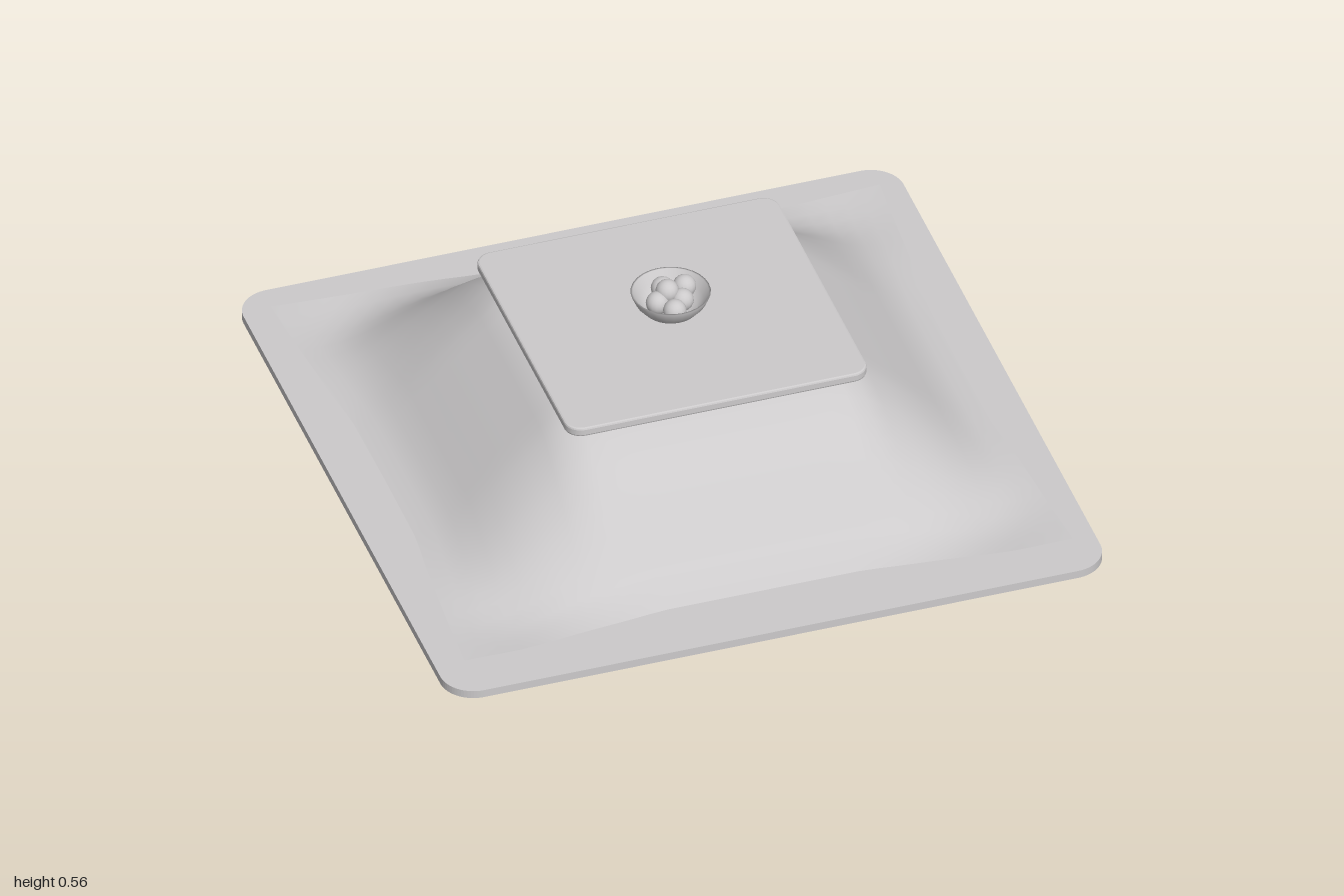
import * as THREE from 'three';

const grey = new THREE.MeshStandardMaterial({ color: 0xcccacb });
grey.name = 'light grey';
const greySheet = grey.clone();
greySheet.name = 'light grey sheet';
greySheet.side = THREE.DoubleSide;

// Piecewise linear lookup, points as [position, value]
function lookup(points, t) {
  for (let i = 1; i < points.length; i++) {
    const [a, va] = points[i - 1], [b, vb] = points[i];
    if (t <= b) return va + (vb - va) * Math.max(0, (t - a) / (b - a));
  }
  return points[points.length - 1][1];
}

// Flat board with rounded corners, lying from y0 to y1
function board(name, width, depth, radius, y0, y1, bevel = 0) {
  const w = width / 2 - bevel, d = depth / 2 - bevel, r = radius - bevel;
  const s = new THREE.Shape();
  s.absarc(w - r, d - r, r, 0, Math.PI / 2);
  s.absarc(r - w, d - r, r, Math.PI / 2, Math.PI);
  s.absarc(r - w, r - d, r, Math.PI, Math.PI * 1.5);
  s.absarc(w - r, r - d, r, Math.PI * 1.5, Math.PI * 2);
  const geo = new THREE.ExtrudeGeometry(s, {
    depth: y1 - y0 - 2 * bevel, curveSegments: 8, bevelEnabled: bevel > 0,
    bevelSize: bevel, bevelThickness: bevel, bevelSegments: 2,
  });
  geo.rotateX(-Math.PI / 2).translate(0, y0 + bevel, 0);
  const mesh = new THREE.Mesh(geo, grey);
  mesh.name = name;
  return mesh;
}

// Draped quilt: a grid whose edges flare at the corners
function quilt() {
  const slopeX = [[0, 1], [0.32, 1], [0.43, 0.97], [0.6, 0.55], [0.76, 0.13], [0.82, 0.04], [0.87, 0]];
  const slopeZ = [[0, 1], [0.3, 1], [0.42, 0.88], [0.53, 0.68], [0.61, 0.49], [0.74, 0.13], [0.8, 0.04], [0.84, 0]];
  const edgeX = [[0, 0.87], [0.33, 0.872], [0.5, 0.89], [0.8, 0.91], [1, 0.922]];
  const edgeZ = [[0, 0.84], [0.33, 0.84], [0.47, 0.855], [0.8, 0.88], [1, 0.885]];
  const geo = new THREE.PlaneGeometry(2, 2, 32, 32).rotateX(-Math.PI / 2);
  const p = geo.attributes.position;
  for (let i = 0; i < p.count; i++) {
    const u = p.getX(i), v = p.getZ(i);
    const x = u * lookup(edgeX, Math.abs(v)), z = v * lookup(edgeZ, Math.abs(u));
    const ax = Math.abs(x), az = Math.abs(z);
    const lift = lookup(slopeX, ax) * lookup(slopeZ, az);
    const sag = 0.019 * Math.exp(-((ax - 0.74) ** 2 + (az - 0.73) ** 2) / 0.02);
    p.setXYZ(i, x, 0.055 + 0.36 * lift - sag, z);
  }
  geo.computeVertexNormals();
  const mesh = new THREE.Mesh(geo, greySheet);
  mesh.name = 'quilt';
  return mesh;
}

// Thin-walled bowl holding a small heap of fruit
function fruitBowl() {
  const group = new THREE.Group();
  group.name = 'fruitBowl';
  const profile = [
    [0, 0.003], [0.045, 0], [0.05, 0.004], [0.082, 0.025], [0.103, 0.05], [0.116, 0.08],
    [0.11, 0.08], [0.096, 0.05], [0.076, 0.029], [0.045, 0.012], [0, 0.01],
  ].map(([r, y]) => new THREE.Vector2(r, y));
  const bowl = new THREE.Mesh(new THREE.LatheGeometry(profile, 28), greySheet);
  bowl.name = 'bowl';
  group.add(bowl);
  const fruitGeo = new THREE.SphereGeometry(0.034, 16, 12);
  const spots = [
    [-0.005, 0.05, -0.06], [0.056, 0.056, -0.043], [-0.04, 0.048, 0],
    [0.033, 0.046, 0.005], [-0.005, 0.05, 0.053], [-0.005, 0.072, -0.016],
  ];
  for (const [x, y, z] of spots) {
    const fruit = new THREE.Mesh(fruitGeo, grey);
    fruit.name = 'fruit';
    fruit.position.set(x, y, z);
    group.add(fruit);
  }
  group.position.set(-0.004, 0.45, 0);
  return group;
}

export function createModel() {
  const model = new THREE.Group();
  model.name = 'heatedTable';
  model.add(board('floorMat', 2, 2, 0.1, 0, 0.025));
  model.add(quilt());
  model.add(board('tableTop', 0.914, 0.884, 0.05, 0.421, 0.45, 0.006));

  // Legs under the quilt
  const legGeo = new THREE.BoxGeometry(0.056, 0.37, 0.056);
  for (const x of [-0.308, 0.308]) {
    for (const z of [-0.308, 0.308]) {
      const leg = new THREE.Mesh(legGeo, grey);
      leg.name = 'leg';
      leg.position.set(x, 0.215, z);
      model.add(leg);
    }
  }
  model.add(fruitBowl());
  return model;
}
